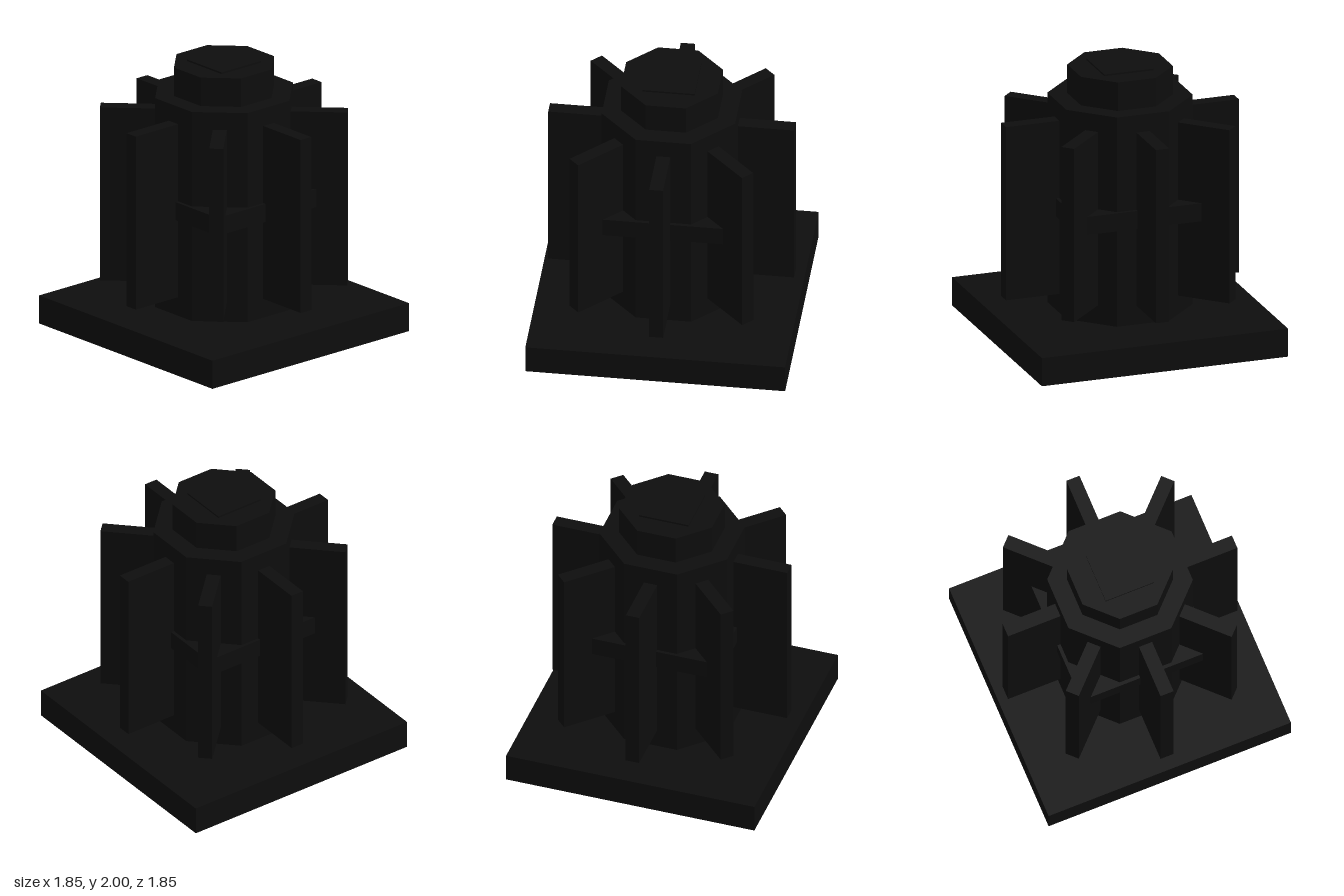
import * as THREE from 'three';

export function createModel() {
  const model = new THREE.Group();
  const black = new THREE.MeshStandardMaterial({ color: 0x0d0d0d, flatShading: true });
  black.name = 'matte black';

  const add = (name, geometry, y, parent = model) => {
    const mesh = new THREE.Mesh(geometry, black);
    mesh.name = name;
    mesh.position.y = y;
    parent.add(mesh);
    return mesh;
  };

  // Eight-sided prism, flats facing the axes, between two heights
  const octagon = (name, apothem, y0, y1) => {
    const r = apothem / Math.cos(Math.PI / 8);
    add(name, new THREE.CylinderGeometry(r, r, y1 - y0, 8, 1, false, Math.PI / 8), (y0 + y1) / 2);
  };

  // Square base, core, cap and the thin square plate on top
  add('base', new THREE.BoxGeometry(1.85, 0.21, 1.85), 0.105);
  octagon('core', 0.475, 0.21, 1.775);
  octagon('cap', 0.345, 1.775, 1.988);
  add('topPlate', new THREE.BoxGeometry(0.37, 0.02, 0.37), 1.99);

  // Eight radial fins, clear of the base
  const fins = new THREE.Group();
  fins.name = 'fins';
  model.add(fins);
  const finGeometry = new THREE.BoxGeometry(0.1, 1.295, 0.475).translate(0, 0, 0.6375);
  for (let i = 0; i < 8; i++) {
    add('fin', finGeometry, 0.9975, fins).rotation.y = (i * Math.PI) / 4;
  }

  // Two crossed bars forming the belt between the fins
  for (let i = 0; i < 2; i++) {
    add('beltBar', new THREE.BoxGeometry(0.86, 0.135, 1.0), 1.0).rotation.y = (i * Math.PI) / 2;
  }

  return model;
}
